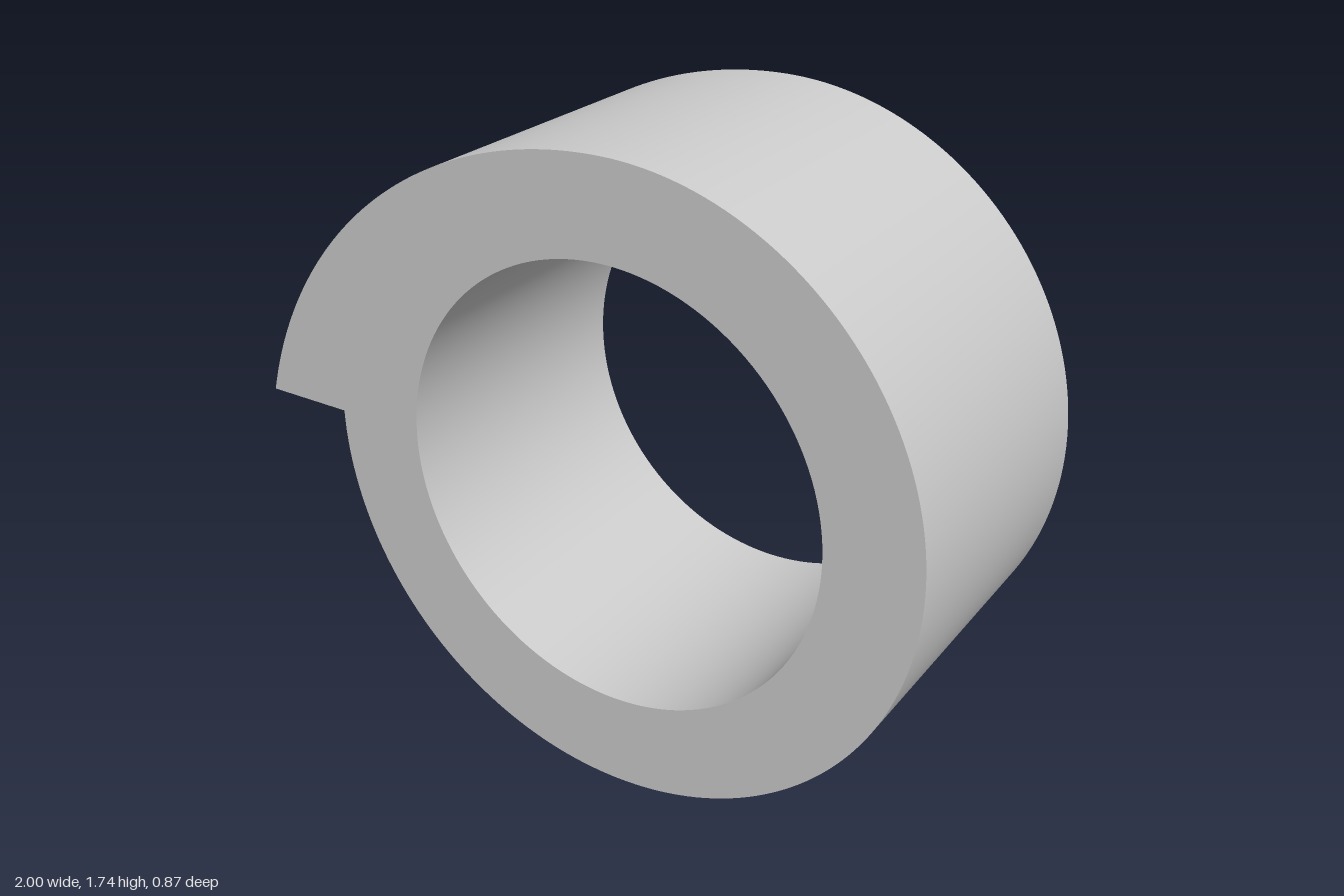
import * as THREE from 'three';
import { toCreasedNormals } from 'three/addons/utils/BufferGeometryUtils.js';

export function createModel() {
  const model = new THREE.Group();
  const R = 0.87, bore = 0.61, depth = 0.87;
  const cx = 1 - R, cy = R;

  // larger arc, level at the top of the ring, running out to the tip at x = -1
  const reach = cx + 1;
  const drop = (reach * reach - R * R) / (2 * R);
  const tipAngle = Math.PI - Math.atan2(drop, reach);

  // outline: three quarters of the ring, then the flared arc, closed by the step
  const outline = new THREE.Shape();
  outline.moveTo(cx - R, cy);
  outline.absarc(cx, cy, R, -Math.PI, Math.PI / 2, false);
  outline.absarc(cx, cy - drop, R + drop, Math.PI / 2, tipAngle, false);
  outline.closePath();

  // round bore
  const hole = new THREE.Path();
  hole.absarc(cx, cy, bore, 0, Math.PI * 2, true);
  outline.holes.push(hole);

  const geometry = new THREE.ExtrudeGeometry(outline, { depth, bevelEnabled: false, curveSegments: 72 });
  geometry.translate(0, 0, -depth / 2);

  const ring = new THREE.Mesh(
    toCreasedNormals(geometry, 0.5),
    new THREE.MeshStandardMaterial({ color: 0xcccccc })
  );
  ring.name = 'steppedCamRing';
  model.add(ring);
  return model;
}
